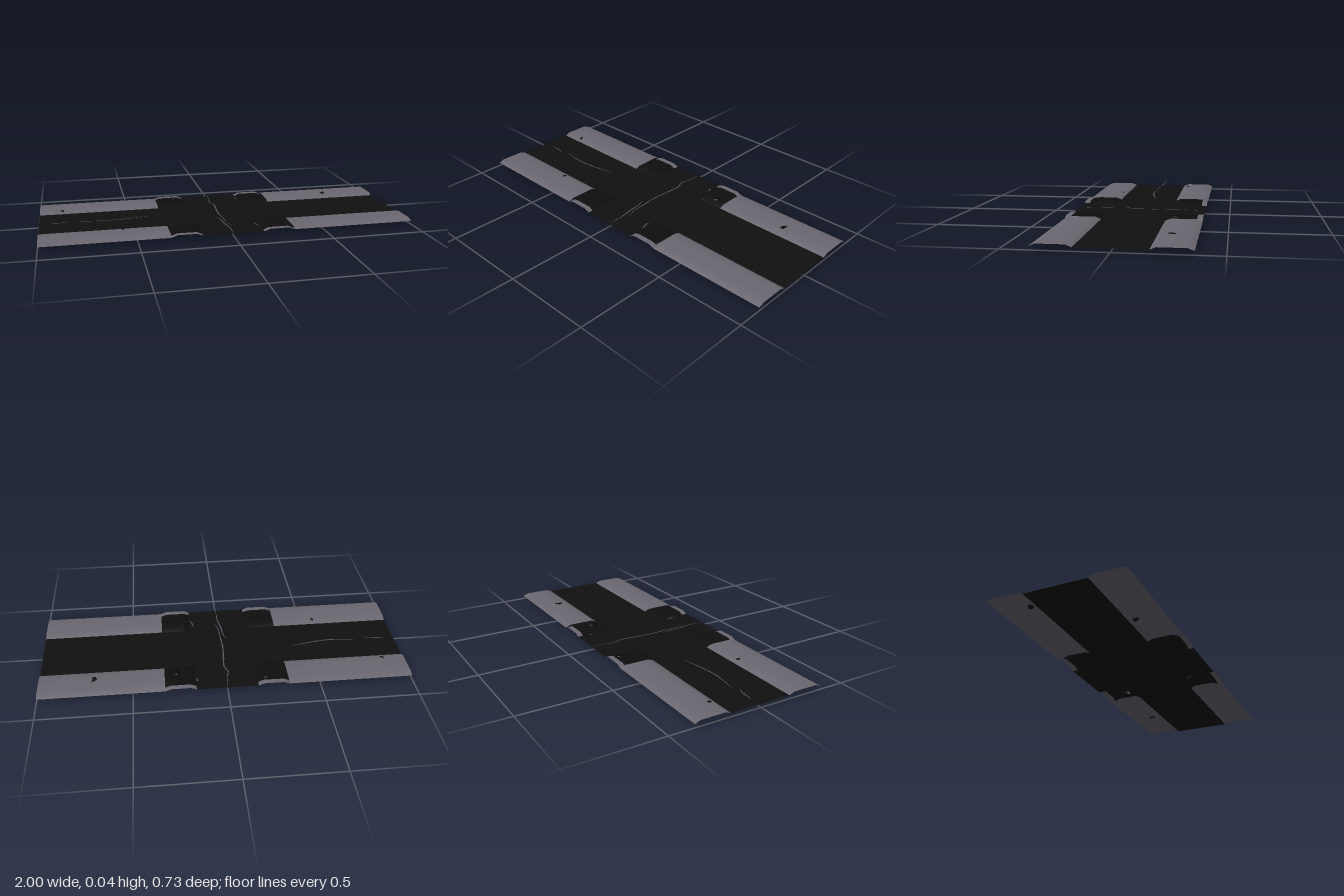
import * as THREE from 'three';

const BASE = 0.02, KERB = 0.032;      // road level and pavement level
const IN_X = 0.165, OUT_X = 0.33;     // pavement band of the side street
const IN_Z = 0.17, OUT_Z = 0.365;     // pavement band of the main street
const JUNCTION_Z = 0.335;             // where the junction corners end

const mat = (color, extra = {}) =>
  new THREE.MeshStandardMaterial({ color, side: THREE.DoubleSide, ...extra });

// Upward-facing grid over the given x and z stations, with height from a rule
function gridSurface(xs, zs, height) {
  xs = [...xs].sort((a, b) => a - b);
  zs = [...zs].sort((a, b) => a - b);
  const pos = [], idx = [];
  for (const z of zs) for (const x of xs) pos.push(x, height(x, z), z);
  const n = xs.length;
  for (let j = 0; j < zs.length - 1; j++) {
    for (let i = 0; i < n - 1; i++) {
      const a = j * n + i, b = a + 1, c = a + n, d = c + 1;
      idx.push(a, c, b, b, c, d);
    }
  }
  const g = new THREE.BufferGeometry();
  g.setAttribute('position', new THREE.Float32BufferAttribute(pos, 3));
  g.setIndex(idx);
  g.computeVertexNormals();
  return g;
}

// Raised kerb profile across a band: sloped sides and a flat top
function hump(t, width, slope = 0.03) {
  const d = Math.min(t, width - t);
  return BASE + (KERB - BASE) * THREE.MathUtils.clamp(d / slope, 0, 1);
}

// Flat ribbon following a path of [x, z] points, tapering at both ends
function crack(points, width) {
  const curve = new THREE.CatmullRomCurve3(points.map(([x, z]) => new THREE.Vector3(x, 0, z)));
  const steps = points.length * 4, pos = [], idx = [];
  for (let i = 0; i <= steps; i++) {
    const t = i / steps, p = curve.getPoint(t), d = curve.getTangent(t);
    const w = 0.5 * width * (0.25 + 0.75 * Math.sin(Math.PI * t)) * (1 + 0.3 * Math.sin(i * 2.3));
    pos.push(p.x - d.z * w, BASE + 0.001, p.z + d.x * w);
    pos.push(p.x + d.z * w, BASE + 0.001, p.z - d.x * w);
    if (i < steps) idx.push(2 * i, 2 * i + 1, 2 * i + 2, 2 * i + 1, 2 * i + 3, 2 * i + 2);
  }
  for (let k = 0; k < idx.length; k += 3) [idx[k + 1], idx[k + 2]] = [idx[k + 2], idx[k + 1]];
  const g = new THREE.BufferGeometry();
  g.setAttribute('position', new THREE.Float32BufferAttribute(pos, 3));
  g.setIndex(idx);
  g.computeVertexNormals();
  // keep the face winding pointing up
  if (g.attributes.normal.getY(0) < 0) {
    for (let k = 0; k < idx.length; k += 3) [idx[k + 1], idx[k + 2]] = [idx[k + 2], idx[k + 1]];
    g.setIndex(idx);
    g.computeVertexNormals();
  }
  return g;
}

// Jagged stone: an icosahedron whose corners are pushed in and out by position
function stone(seed) {
  const g = new THREE.IcosahedronGeometry(1, 1);
  const p = g.attributes.position, v = new THREE.Vector3();
  for (let i = 0; i < p.count; i++) {
    v.fromBufferAttribute(p, i);
    const r = Math.sin(v.x * 7.1 + v.y * 11.3 + v.z * 5.7 + seed * 2.9);
    v.multiplyScalar(0.86 + 0.16 * r);
    p.setXYZ(i, v.x, v.y, v.z);
  }
  g.computeVertexNormals();
  return g;
}

export function createModel() {
  const model = new THREE.Group();
  const asphalt = mat(0x101010);
  const paving = mat(0x6a6770);
  const cornerPaving = mat(0x0e0e0e);
  const crackMat = mat(0x50505c);
  const rubble = mat(0x080808, { flatShading: true });
  const add = (name, geometry, material) => {
    const m = new THREE.Mesh(geometry, material);
    m.name = name;
    model.add(m);
    return m;
  };
  const flat = () => BASE;

  // Main street and the two stubs of the side street
  add('mainRoad', gridSurface([-1, 1], [-IN_Z, IN_Z], flat), asphalt);
  for (const s of [-1, 1])
    add('sideRoad', gridSurface([-IN_X, IN_X], [s * IN_Z, s * OUT_Z], flat), asphalt);

  // Pavements, mirrored into the four quadrants
  const wMain = OUT_Z - IN_Z, wSide = OUT_X - IN_X;
  const mainStations = [0, 0.03, wMain / 2, wMain - 0.03, wMain].map(t => IN_Z + t);
  const sideStations = [0, 0.03, wSide / 2, wSide - 0.03, wSide].map(t => IN_X + t);
  const cornerSteps = [0, 0.03, 0.06, 0.0825, 0.105, 0.135, 0.165];
  for (const sx of [-1, 1]) for (const sz of [-1, 1]) {
    add('mainPavement', gridSurface(
      [sx * OUT_X, sx * 1],
      mainStations.map(z => sz * z),
      (x, z) => hump(Math.abs(z) - IN_Z, wMain)), paving);
    add('sidePavement', gridSurface(
      sideStations.map(x => sx * x),
      [sz * JUNCTION_Z, sz * OUT_Z],
      x => hump(Math.abs(x) - IN_X, wSide)), paving);
    // mitred corner where the two pavements meet
    add('cornerPavement', gridSurface(
      cornerSteps.map(t => sx * (IN_X + t)),
      cornerSteps.map(t => sz * (IN_Z + t)),
      (x, z) => hump(Math.min(Math.abs(x) - IN_X, Math.abs(z) - IN_Z), wSide)), cornerPaving);
  }

  // Cracks in the road surface
  const cracks = [
    [[-0.94, -0.01], [-0.9, -0.005], [-0.87, -0.005], [-0.83, 0.01]],
    [[-0.8, -0.015], [-0.72, -0.003], [-0.64, 0.003], [-0.55, -0.005], [-0.47, -0.02], [-0.4, -0.032]],
    [[0, -0.36], [-0.005, -0.28], [-0.015, -0.23], [0.002, -0.19], [-0.002, -0.1], [-0.008, 0],
      [-0.002, 0.1], [0.002, 0.17], [0.02, 0.24]],
    [[-0.035, 0.07], [-0.02, 0.13], [-0.015, 0.19], [-0.002, 0.27], [-0.002, 0.36]],
    [[0.145, 0.21], [0.15, 0.24], [0.163, 0.275]],
    [[0.155, -0.3], [0.163, -0.27]],
  ];
  for (const c of cracks) add('crack', crack(c, 0.008), crackMat);

  // Rubble: [x, y, z], [half sizes], turn
  const stones = [
    [[-0.875, 0.025, -0.205], [0.02, 0.011, 0.017], 0.4],
    [[-0.565, 0.025, 0.207], [0.02, 0.011, 0.015], 1.1],
    [[-0.21, 0.029, -0.305], [0.02, 0.009, 0.026], 0.3],
    [[0.262, 0.021, -0.222], [0.03, 0.021, 0.033], 0.5],
    [[0.205, 0.024, 0.21], [0.02, 0.012, 0.028], 0.2],
    [[0.705, 0.031, -0.238], [0.015, 0.007, 0.02], 0.3],
    [[0.712, 0.032, -0.255], [0.011, 0.005, 0.009], 0.9],
    [[0.2, 0.021, -0.19], [0.02, 0.008, 0.015], 0.7],
  ];
  stones.forEach(([p, s, turn], i) => {
    const m = add('stone', stone(i + 1), rubble);
    m.position.set(...p);
    m.scale.set(...s);
    m.rotation.y = turn;
  });

  return model;
}
